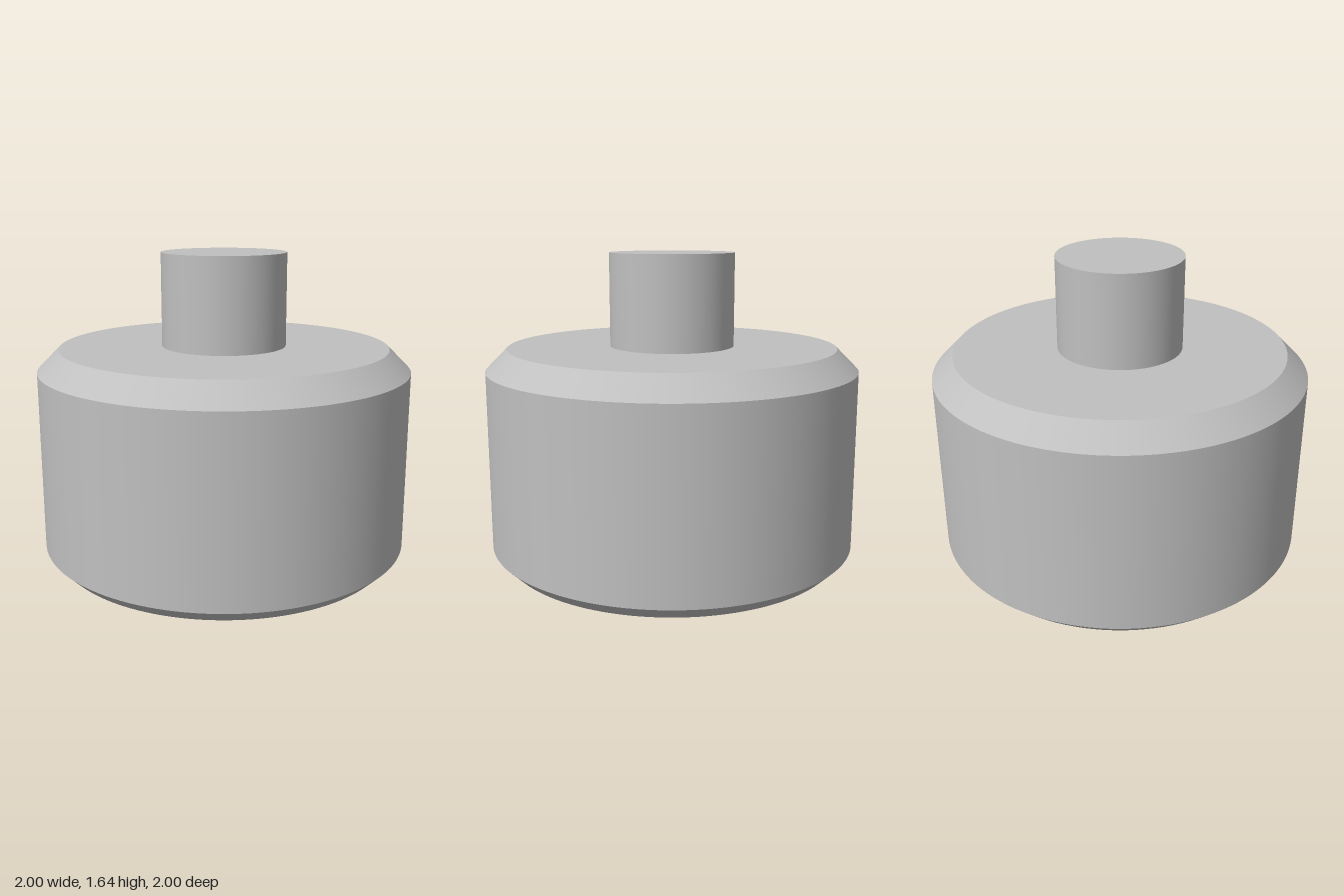
import * as THREE from 'three';

const SEGMENTS = 128;

export function createModel() {
  const model = new THREE.Group();
  model.name = 'knob';
  const steel = new THREE.MeshStandardMaterial({ color: 0xc0c0c0 });
  steel.name = 'grey steel';

  const add = (name, geometry, y) => {
    const mesh = new THREE.Mesh(geometry, steel);
    mesh.name = name;
    mesh.position.y = y;
    model.add(mesh);
    return mesh;
  };

  // Open band between two heights, smooth around with sharp rims
  const band = (name, r0, y0, r1, y1) =>
    add(name, new THREE.CylinderGeometry(r1, r0, y1 - y0, SEGMENTS, 1, true), (y0 + y1) / 2);

  // Flat horizontal ring or disc, facing up or down
  const flat = (name, inner, outer, y, up = true) => {
    const geometry = inner > 0
      ? new THREE.RingGeometry(inner, outer, SEGMENTS)
      : new THREE.CircleGeometry(outer, SEGMENTS);
    geometry.rotateX(up ? -Math.PI / 2 : Math.PI / 2);
    return add(name, geometry, y);
  };

  // Chamfered body
  flat('bodyBase', 0, 0.93, 0, false);
  band('lowerChamfer', 0.93, 0, 1, 0.07);
  band('bodyWall', 1, 0.07, 1, 1.03);
  band('upperChamfer', 1, 1.03, 0.885, 1.145);
  flat('bodyShoulder', 0.335, 0.885, 1.145);

  // Stem
  band('stemWall', 0.335, 1.145, 0.335, 1.643);
  flat('stemTop', 0, 0.335, 1.643);

  return model;
}
